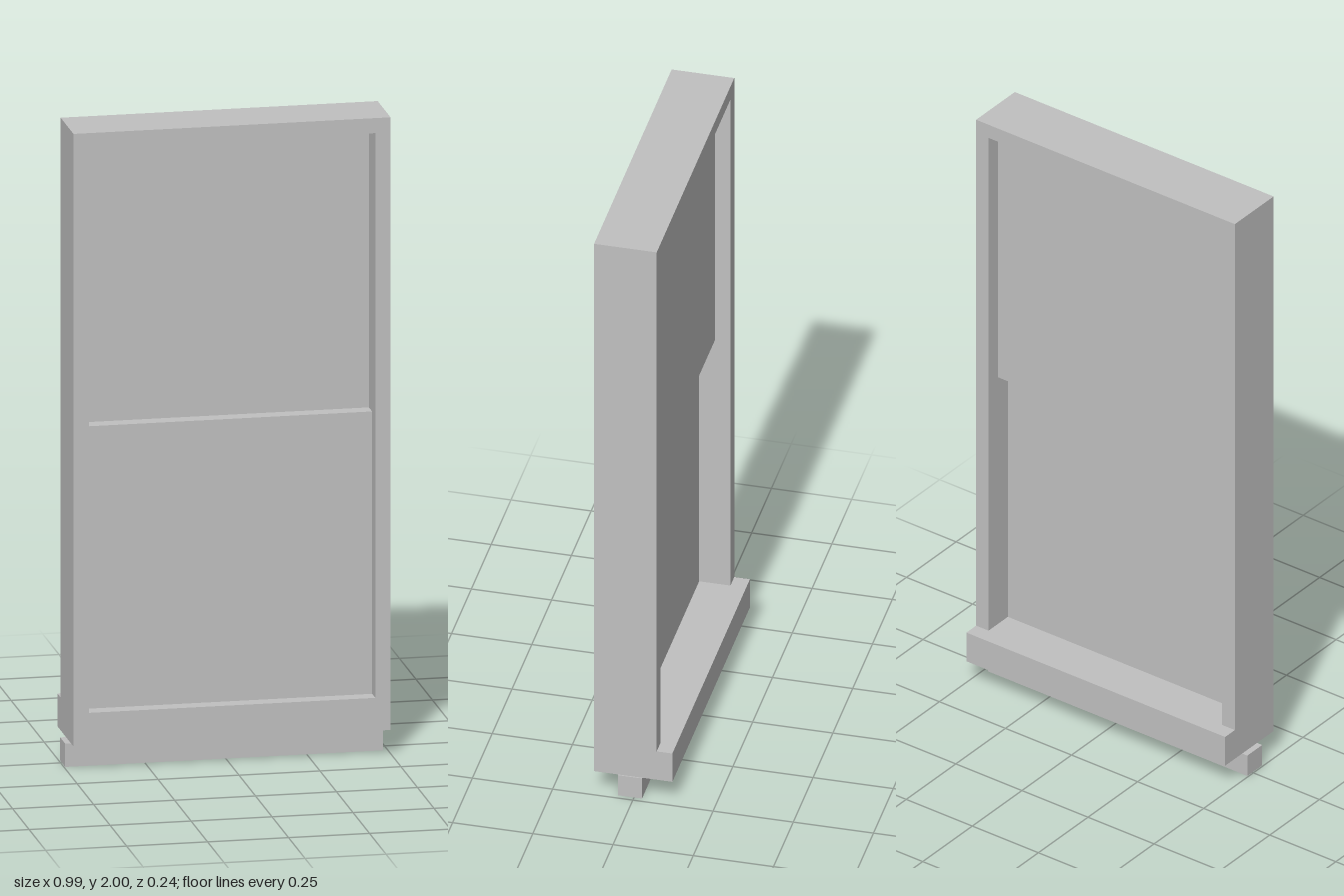
import * as THREE from 'three';

export function createModel() {
  const model = new THREE.Group();
  model.name = 'sashWindow';
  const grey = new THREE.MeshStandardMaterial({ color: 0xc0c0c0 });
  grey.name = 'light grey';

  // Box given by its min and max corners
  function addBox(name, [x0, y0, z0], [x1, y1, z1]) {
    const mesh = new THREE.Mesh(new THREE.BoxGeometry(x1 - x0, y1 - y0, z1 - z0), grey);
    mesh.position.set((x0 + x1) / 2, (y0 + y1) / 2, (z0 + z1) / 2);
    mesh.name = name;
    model.add(mesh);
  }

  function rectangle(path, x0, y0, x1, y1) {
    path.moveTo(x0, y0);
    path.lineTo(x1, y0);
    path.lineTo(x1, y1);
    path.lineTo(x0, y1);
    path.closePath();
    return path;
  }

  // Depth is divided into equal steps: frame 4, each pane 1, sill ledge 1
  const step = 0.0488;
  const back = -0.073;
  const left = -0.485, right = 0.494, bottom = 0.082, top = 2;
  const inLeft = -0.437, inRight = 0.447, inBottom = 0.185, inTop = 1.953;
  const middle = (inBottom + inTop) / 2;

  // Frame with one tall opening
  const outline = rectangle(new THREE.Shape(), left, bottom, right, top);
  outline.holes.push(rectangle(new THREE.Path(), inLeft, inBottom, inRight, inTop));
  const frame = new THREE.Mesh(
    new THREE.ExtrudeGeometry(outline, { depth: 4 * step, bevelEnabled: false }), grey);
  frame.position.z = back;
  frame.name = 'frame';
  model.add(frame);

  // Sill projecting from the back
  addBox('sillLedge', [left, bottom, back - step], [right, inBottom, back]);

  // Upper pane set back, lower pane in front of it
  addBox('upperPane', [inLeft, middle, back + step], [inRight, inTop, back + 2 * step]);
  addBox('lowerPane', [inLeft, inBottom, back + 2 * step], [inRight, middle, back + 3 * step]);

  // Loose bar below the frame
  addBox('bottomBar', [-0.496, 0, -0.025], [0.485, 0.073, 0.05]);

  return model;
}
